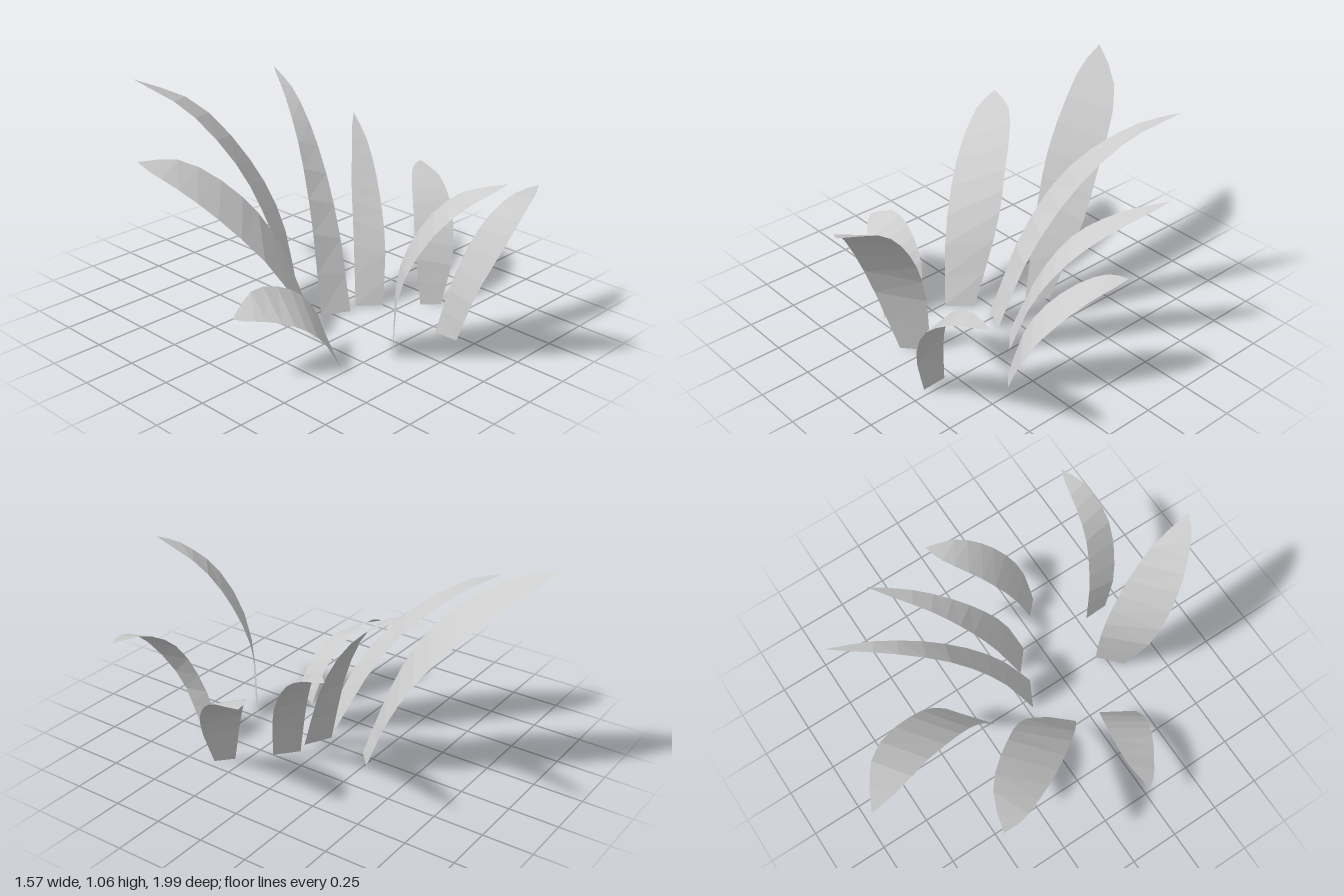
import * as THREE from 'three';

const leafGrey = new THREE.MeshStandardMaterial({
  name: 'leafGrey', color: 0xcccccc, flatShading: true, side: THREE.DoubleSide,
});
const SEGMENTS = 10;

const edgeCurve = (points, tip) =>
  new THREE.CatmullRomCurve3([...points, tip].map((p) => new THREE.Vector3(...p)));

// A blade is a ribbon stretched between two edge curves that meet at the tip.
function blade(name, tip, edgeA, edgeB) {
  const a = edgeCurve(edgeA, tip);
  const b = edgeCurve(edgeB, tip);
  const positions = [];
  const index = [];
  for (let i = 0; i <= SEGMENTS; i++) {
    const t = i / SEGMENTS;
    const pa = a.getPoint(t);
    const pb = b.getPoint(t);
    // Widen slightly before the tip so that it ends rounded.
    const spread = 1 + 0.4 * Math.max(0, (t - 0.75) / 0.25);
    const mid = pa.clone().add(pb).multiplyScalar(0.5);
    const half = pa.clone().sub(pb).multiplyScalar(0.5 * spread);
    positions.push(...mid.clone().add(half).toArray(), ...mid.clone().sub(half).toArray());
    if (i < SEGMENTS) {
      const k = i * 2;
      index.push(k, k + 1, k + 3);
      if (i < SEGMENTS - 1) index.push(k, k + 3, k + 2);
    }
  }
  const indexed = new THREE.BufferGeometry();
  indexed.setAttribute('position', new THREE.Float32BufferAttribute(positions, 3));
  indexed.setIndex(index);
  const geometry = indexed.toNonIndexed();
  geometry.computeVertexNormals();
  const mesh = new THREE.Mesh(geometry, leafGrey);
  mesh.name = name;
  return mesh;
}

export function createModel() {
  const plant = new THREE.Group();
  plant.name = 'leafyPlant';

  // Tall blades at the back
  plant.add(blade('tallBackLeaf', [-0.35, 1.06, -0.99],
    [[-0.02, 0, -0.18], [-0.09, 0.42, -0.31], [-0.16, 0.7, -0.45], [-0.26, 0.95, -0.71]],
    [[0.07, 0, -0.26], [0.11, 0.35, -0.42], [0.06, 0.63, -0.59], [-0.08, 0.91, -0.83]]));
  plant.add(blade('slimBackLeaf', [0.41, 1.02, -0.78],
    [[-0.05, 0, 0.03], [0.03, 0.47, -0.12], [0.13, 0.78, -0.31], [0.27, 0.96, -0.56]],
    [[0.085, 0, 0.1], [0.155, 0.42, -0.06], [0.24, 0.74, -0.28], [0.33, 0.94, -0.53]]));

  // Arching blades on the left side
  plant.add(blade('leftBackLeaf', [0.67, 0.78, -0.44],
    [[0.145, 0, 0.08], [0.24, 0.35, -0.03], [0.34, 0.56, -0.14], [0.47, 0.685, -0.26]],
    [[0.25, 0, 0.17], [0.335, 0.29, 0.1], [0.43, 0.5, -0.03], [0.55, 0.66, -0.21]]));
  plant.add(blade('leftLeaf', [0.78, 0.58, -0.06],
    [[0.385, 0, 0.3], [0.43, 0.27, 0.22], [0.53, 0.45, 0.11], [0.66, 0.56, -0.01]],
    [[0.46, 0, 0.37], [0.56, 0.23, 0.355], [0.66, 0.41, 0.26], [0.74, 0.53, 0.12]]));
  plant.add(blade('leftFrontLeaf', [0.74, 0.66, 0.715],
    [[0.215, 0, 0.67], [0.26, 0.25, 0.74], [0.42, 0.51, 0.8], [0.59, 0.63, 0.78]],
    [[0.21, 0, 0.545], [0.27, 0.28, 0.59], [0.39, 0.52, 0.64], [0.56, 0.635, 0.675]]));

  // Broad blade at the front
  plant.add(blade('frontLeaf', [0.1, 0.915, 1.0],
    [[-0.11, 0, 0.56], [-0.19, 0.4, 0.66], [-0.14, 0.69, 0.8], [-0.03, 0.84, 0.92]],
    [[0, 0, 0.46], [0, 0.36, 0.48], [0.03, 0.61, 0.58], [0.07, 0.8, 0.74]]));

  // Broad blades on the right side
  plant.add(blade('rightFrontLeaf', [-0.785, 0.315, 0.215],
    [[-0.36, 0, 0.465], [-0.46, 0.17, 0.44], [-0.57, 0.26, 0.39], [-0.7, 0.305, 0.3]],
    [[-0.27, 0, 0.31], [-0.32, 0.22, 0.25], [-0.43, 0.335, 0.21], [-0.61, 0.39, 0.18]]));
  plant.add(blade('rightBackLeaf', [-0.68, 0.82, -0.55],
    [[-0.235, 0, 0.175], [-0.37, 0.34, 0.05], [-0.53, 0.6, -0.16], [-0.64, 0.75, -0.37]],
    [[-0.135, 0, 0.065], [-0.18, 0.39, -0.13], [-0.28, 0.61, -0.27], [-0.46, 0.785, -0.46]]));

  return plant;
}
